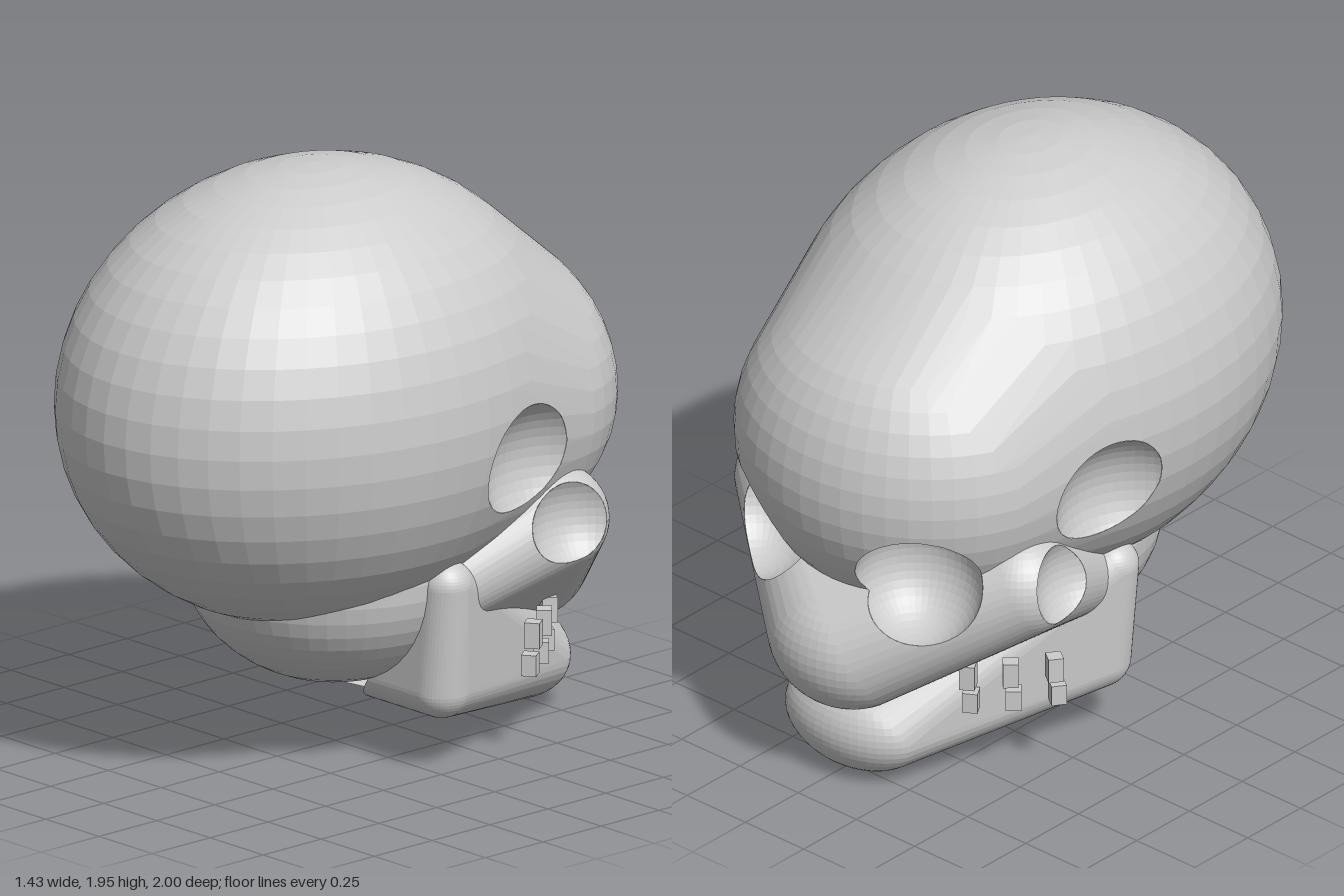
import * as THREE from 'three';
import { ConvexGeometry } from 'three/addons/geometries/ConvexGeometry.js';

const bone = new THREE.MeshStandardMaterial({ color: 0xcccccc });
bone.name = 'bone';

// Faceted ellipsoid, pole along y
function ball([x, y, z], rx, ry = rx, rz = rx) {
  return new THREE.SphereGeometry(1, 48, 24).scale(rx, ry, rz).translate(x, y, z).toNonIndexed();
}

// Corner points of a geometry
function pointsOf(geometry) {
  const p = geometry.attributes.position;
  return Array.from({ length: p.count }, (_, i) => new THREE.Vector3().fromBufferAttribute(p, i));
}

// Convex hull around balls, with a signed distance (negative inside)
function hull(...balls) {
  const seen = new Map();
  for (const v of balls.flatMap(pointsOf)) {
    seen.set(v.toArray().map(c => Math.round(c * 1e5)).join(), v);
  }
  const points = pointsOf(new ConvexGeometry([...seen.values()]));
  const planes = [];
  for (let i = 0; i < points.length; i += 3) {
    const t = new THREE.Triangle(points[i], points[i + 1], points[i + 2]);
    if (t.getArea() > 1e-9) planes.push(t.getPlane(new THREE.Plane()));
  }
  const distance = v => {
    let d = -Infinity;
    for (const { normal: n, constant } of planes) {
      d = Math.max(d, n.x * v.x + n.y * v.y + n.z * v.z + constant);
    }
    return d;
  };
  return { points, distance };
}

// Spherical hollow
function hollow(name, x, y, z, r) {
  const centre = new THREE.Vector3(x, y, z);
  return { name, points: pointsOf(ball([x, y, z], r)), distance: v => v.distanceTo(centre) - r };
}

// Keep the part of a surface where f > 0, refining triangles near the cut
function clip(points, f) {
  const out = [];
  const visit = (a, b, c, depth) => {
    const ab = a.distanceTo(b), bc = b.distanceTo(c), ca = c.distanceTo(a);
    const longest = Math.max(ab, bc, ca);
    if (depth < 14 && longest > 0.035) {
      const centroid = a.clone().add(b).add(c).divideScalar(3);
      if (Math.abs(f(centroid)) < longest) {
        if (bc === longest) [a, b, c] = [b, c, a];
        else if (ca === longest) [a, b, c] = [c, a, b];
        const m = a.clone().lerp(b, 0.5);
        visit(a, m, c, depth + 1);
        visit(m, b, c, depth + 1);
        return;
      }
    }
    const corners = [a, b, c], values = corners.map(f), kept = [];
    for (let i = 0; i < 3; i++) {
      const j = (i + 1) % 3;
      if (values[i] > 0) kept.push(corners[i]);
      if ((values[i] > 0) !== (values[j] > 0)) {
        kept.push(corners[i].clone().lerp(corners[j], values[i] / (values[i] - values[j])));
      }
    }
    for (let i = 2; i < kept.length; i++) out.push(kept[0], kept[i - 1], kept[i]);
  };
  for (let i = 0; i < points.length; i += 3) visit(points[i], points[i + 1], points[i + 2], 0);
  return out;
}

function addSurface(group, name, points) {
  const geometry = new THREE.BufferGeometry().setFromPoints(points);
  geometry.computeVertexNormals();
  const mesh = new THREE.Mesh(geometry, bone);
  mesh.name = name;
  group.add(mesh);
}

// Cut hollows out of solids and line them with inward-facing bowls
function carve(group, solids, hollows) {
  const outside = list => v => Math.min(...list.map(s => s.distance(v)));
  const clearOfHollows = outside(hollows), solidDistance = outside(Object.values(solids));
  for (const [name, solid] of Object.entries(solids)) {
    addSurface(group, name, clip(solid.points, clearOfHollows));
  }
  for (const h of hollows) {
    const others = hollows.filter(o => o !== h);
    let bowl = clip(h.points, v => -solidDistance(v));
    if (others.length) bowl = clip(bowl, outside(others));
    addSurface(group, h.name, bowl.reverse());
  }
}

export function createModel() {
  const group = new THREE.Group();
  group.name = 'skull';
  const pair = (x, y, z, r) => [ball([x, y, z], r), ball([-x, y, z], r)];

  // Braincase with forehead, and upper jaw with cheekbones
  const cranium = hull(
    ball([0, 1.2, 0.1], 0.717, 0.75, 0.9),
    ball([0, 1.1, -0.45], 0.6, 0.54, 0.543)
  );
  const upperJaw = hull(
    ball([0, 0.485, -0.77], 0.27, 0.235, 0.23),
    ...pair(0.495, 0.755, -0.49, 0.178),
    ...pair(0.4, 0.6, -0.16, 0.14)
  );

  // Eye sockets, temples and cheek dishes
  const hollows = [];
  for (const s of [1, -1]) {
    hollows.push(
      hollow('eyeSocket', s * 0.34, 0.81, -0.81, 0.208),
      hollow('temple', s * 0.8, 1.0, -0.27, 0.26),
      hollow('cheekDish', s * 0.76, 0.8, -0.415, 0.2)
    );
  }
  carve(group, { cranium, upperJaw }, hollows);

  // Rounded base below the braincase
  const base = new THREE.Mesh(ball([0, 0.64, 0], 0.488, 0.418, 0.5), bone);
  base.geometry.computeVertexNormals();
  base.name = 'skullBase';
  group.add(base);

  // Lower jaw with a broad chin, scooped out at the back
  const lowerJaw = hull(
    ball([0, 0.17, -0.72], 0.27, 0.168, 0.168),
    ...pair(0.48, 0.62, -0.04, 0.085),
    ...pair(0.44, 0.27, -0.055, 0.1)
  );
  carve(group, { lowerJaw }, [hollow('jawScoop', 0, 0.43, -0.09, 0.296)]);

  // Two rows of teeth on each side, turned to follow the jaw
  const rows = [
    { name: 'upperTooth', y: 0.4, h: 0.085, shift: 0 },
    { name: 'lowerTooth', y: 0.303, h: 0.07, shift: 0.014 }
  ];
  const places = [[0.53, -0.37], [0.45, -0.49], [0.36, -0.592]];
  for (const { name, y, h, shift } of rows) {
    for (const [x, z] of places) {
      for (const s of [1, -1]) {
        const tooth = new THREE.Mesh(new THREE.BoxGeometry(0.05, h, 0.05), bone);
        tooth.name = name;
        tooth.position.set(s * x, y, z + shift);
        tooth.rotation.y = s * Math.atan2(-z, x);
        group.add(tooth);
      }
    }
  }
  return group;
}
